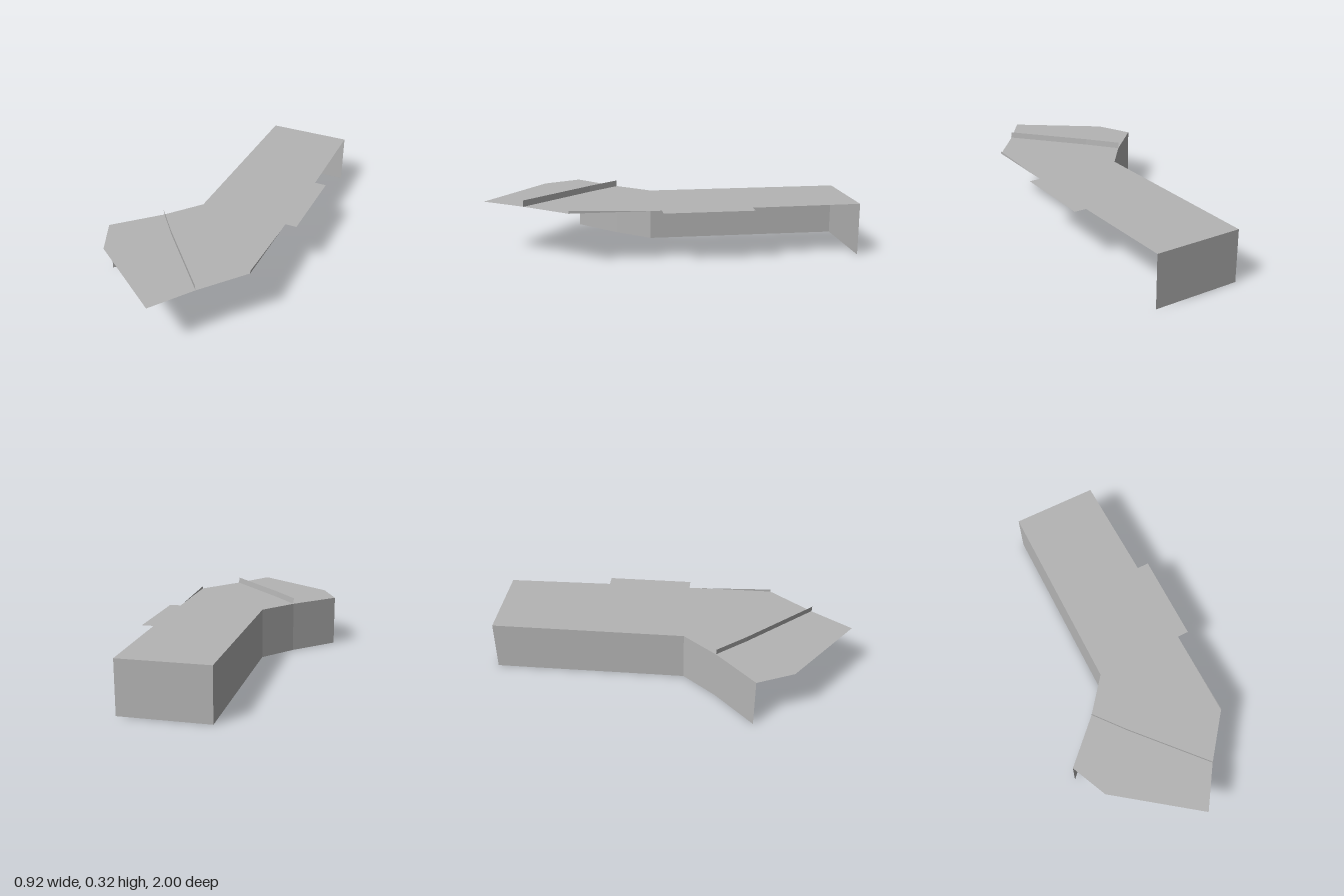
import * as THREE from 'three';

const ROOF_Y = 0.283;

// Ribbon standing on a plan path; each point is [x, z, lowY, highY, leanX, leanZ]
function ribbon(name, points, material) {
  const positions = [];
  for (let i = 0; i < points.length - 1; i++) {
    const [a, b] = [points[i], points[i + 1]];
    const low = (p) => [p[0], p[2], p[1]];
    const high = (p) => [p[0] + (p[4] || 0), p[3], p[1] + (p[5] || 0)];
    positions.push(...low(a), ...low(b), ...high(b), ...low(a), ...high(b), ...high(a));
  }
  const geometry = new THREE.BufferGeometry();
  geometry.setAttribute('position', new THREE.Float32BufferAttribute(positions, 3));
  geometry.computeVertexNormals();
  const mesh = new THREE.Mesh(geometry, material);
  mesh.name = name;
  return mesh;
}

export function createModel() {
  const model = new THREE.Group();
  model.name = 'bentCanopy';
  const grey = new THREE.MeshStandardMaterial({ color: 0xb4b4b4, side: THREE.DoubleSide });
  grey.name = 'grey';

  // Flat roof sheet with the small side ledge, as [x, z]
  const outline = [
    [-0.095, -1], [0.378, -1], [0.39, -0.41], [0.455, -0.41], [0.455, 0.07], [0.392, 0.07],
    [0.395, 0.55], [0.21, 0.785], [0.065, 1], [-0.37, 0.675], [-0.46, 0.475],
    [-0.243, 0.26], [-0.095, 0.075],
  ];
  const shape = new THREE.Shape(outline.map(([x, z]) => new THREE.Vector2(x, -z)));
  const roof = new THREE.Mesh(new THREE.ShapeGeometry(shape).rotateX(-Math.PI / 2), grey);
  roof.position.y = ROOF_Y;
  roof.name = 'roof';
  model.add(roof);

  // Walls along the back and the right side only; the other sides stay open
  const wallPath = [[-0.46, 0.475], [-0.243, 0.26], [-0.095, 0.075], [-0.095, -1], [0.378, -1]];
  model.add(ribbon('walls', wallPath.map(([x, z]) => [x, z, 0, ROOF_Y]), grey));

  // Low upright strip crossing the roof, leaning slightly
  const stripPath = [[-0.24, 0.26], [-0.11, 0.42], [0.214, 0.785]];
  model.add(ribbon('crossStrip', stripPath.map(([x, z]) => [x, z, ROOF_Y, 0.316, -0.005, 0]), grey));

  // Thin sliver rising along the open side edge
  model.add(ribbon('edgeLip', [[0.393, 0.12, ROOF_Y, ROOF_Y], [0.395, 0.55, ROOF_Y, 0.297]], grey));

  return model;
}
